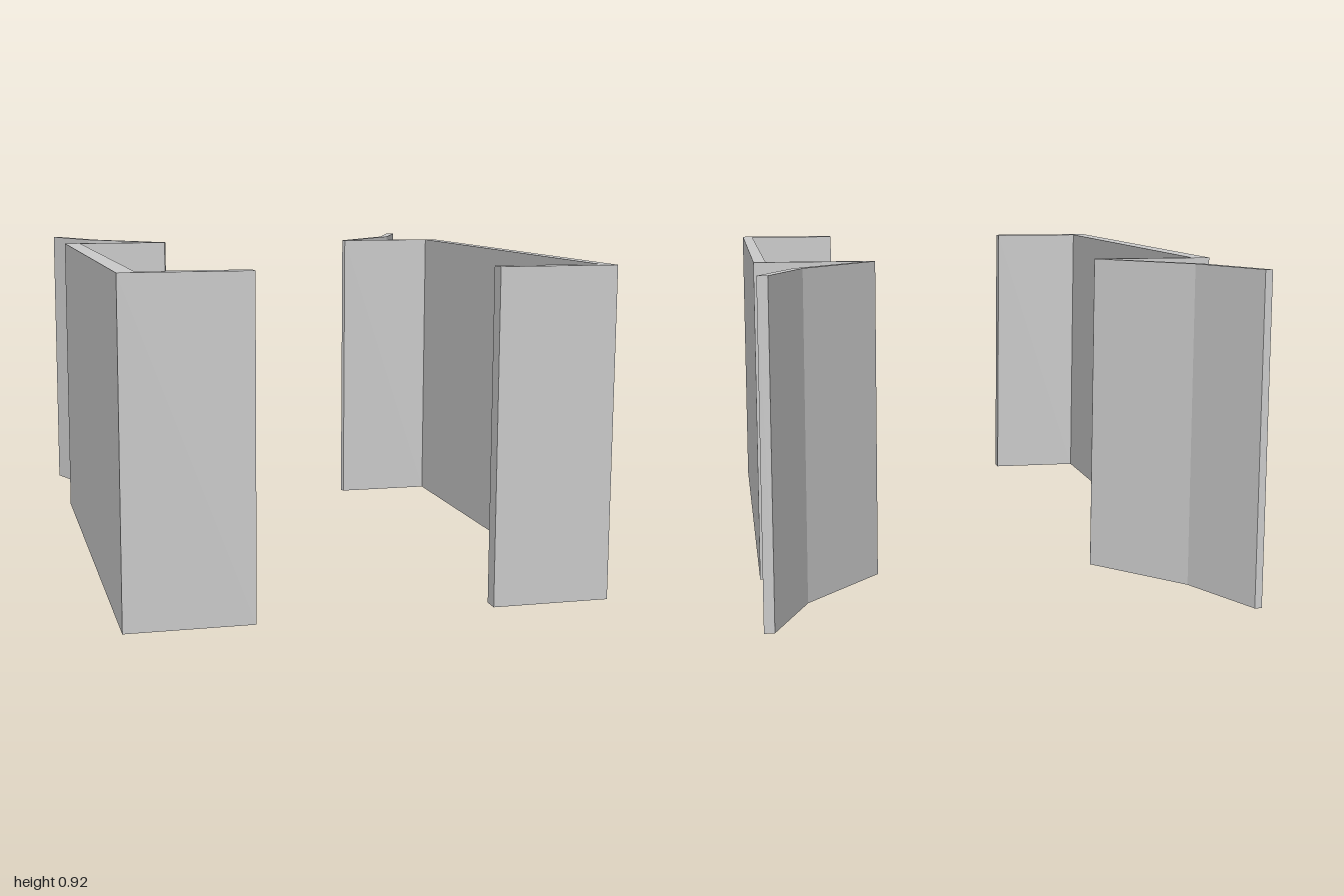
import * as THREE from 'three';

const HEIGHT = 0.915;

// Extrude a plan outline of [x, z] points straight up from the ground
function uprightSheet(name, outline, material) {
  const shape = new THREE.Shape(outline.map(([x, z]) => new THREE.Vector2(x, -z)));
  const geometry = new THREE.ExtrudeGeometry(shape, { depth: HEIGHT, bevelEnabled: false });
  geometry.rotateX(-Math.PI / 2);
  const mesh = new THREE.Mesh(geometry, material);
  mesh.name = name;
  return mesh;
}

// One folded bracket; side is +1 (left) or -1 (right)
function bracket(name, side, { outer, inner, lipEnd, flareTip, material }) {
  const group = new THREE.Group();
  group.name = name;
  const place = (points) => points.map(([x, z]) => [side * x, z]);

  // Long wall with a thick front lip and a thin back lip
  group.add(uprightSheet('channelWall', place([
    [lipEnd, 1], [outer, 1], [outer, -0.5], [0.335, -0.5], [0.32, -0.498], [0.325, -0.485],
    [inner, -0.485], [inner, 0.955], [lipEnd, 0.955],
  ]), material));

  // Bent wing folding outwards from the back lip
  group.add(uprightSheet('flaredWing', place([
    [0.32, -0.5], [0.54, -0.755], [flareTip, -1], [0.668, -1],
    [0.564, -0.75], [0.342, -0.5], [0.33, -0.49],
  ]), material));
  return group;
}

export function createModel() {
  const material = new THREE.MeshStandardMaterial({ color: 0xcccccc, flatShading: true });
  const model = new THREE.Group();
  model.name = 'bracketPair';
  model.add(
    bracket('leftBracket', 1, { outer: 0.662, inner: 0.628, lipEnd: 0.332, flareTip: 0.64, material }),
    bracket('rightBracket', -1, { outer: 0.668, inner: 0.618, lipEnd: 0.32, flareTip: 0.648, material }),
  );
  return model;
}
